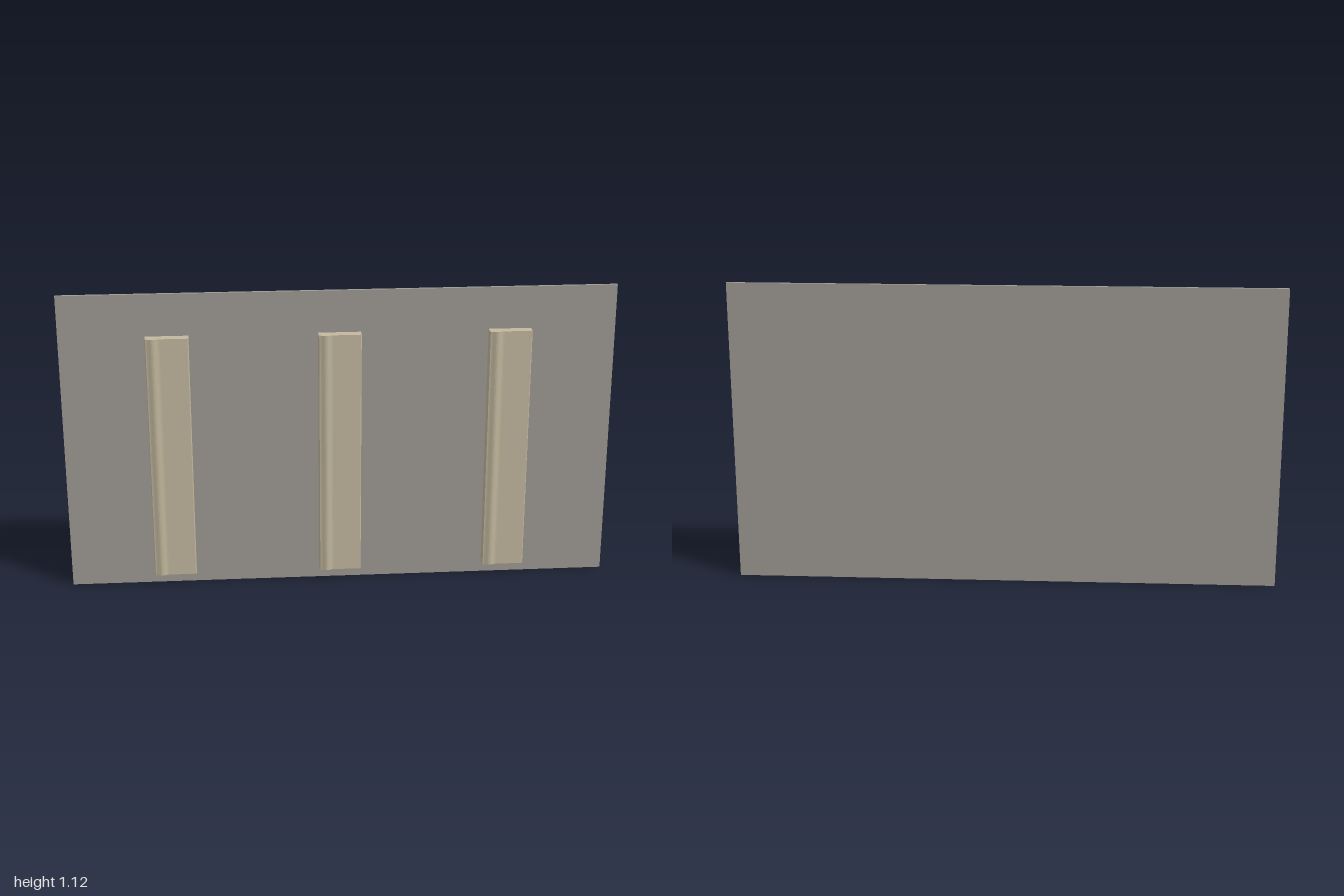
import * as THREE from 'three';

export function createModel() {
  const group = new THREE.Group();
  const panelGrey = new THREE.MeshStandardMaterial({ color: 0x9f9a94 });
  panelGrey.name = 'panel grey';
  const battenTan = new THREE.MeshStandardMaterial({ color: 0xc3b89e });
  battenTan.name = 'batten tan';

  // thin backing panel
  const panel = new THREE.Mesh(new THREE.BoxGeometry(2, 1.12, 0.011), panelGrey);
  panel.name = 'backPanel';
  panel.position.set(0, 0.56, -0.0225);
  group.add(panel);

  // batten cross-section: eased front corners and a shallow ridge left of centre
  const w = 0.077, back = -0.017, front = 0.019;
  const profile = new THREE.Shape();
  const to = (x, z) => profile.lineTo(x, -z);
  profile.moveTo(-w, -back);
  to(w, back);
  to(w, front - 0.003);
  to(w - 0.003, front);
  for (let i = 0; i <= 10; i++) {
    const t = i / 10;
    to(-0.025 - 0.05 * t, front + 0.007 * Math.sin(Math.PI * t) ** 2);
  }
  to(-w, front - 0.003);
  profile.closePath();

  const battenGeometry = new THREE.ExtrudeGeometry(profile, { depth: 0.92, bevelEnabled: false });
  battenGeometry.rotateX(-Math.PI / 2);
  // turn the section so that its front faces +z
  battenGeometry.computeBoundingBox();

  // three evenly spaced upright battens
  ['rightBatten', 'middleBatten', 'leftBatten'].forEach((name, i) => {
    const batten = new THREE.Mesh(battenGeometry, battenTan);
    batten.name = name;
    batten.position.set((i - 1) * 0.615, 0.045, 0);
    group.add(batten);
  });

  return group;
}
